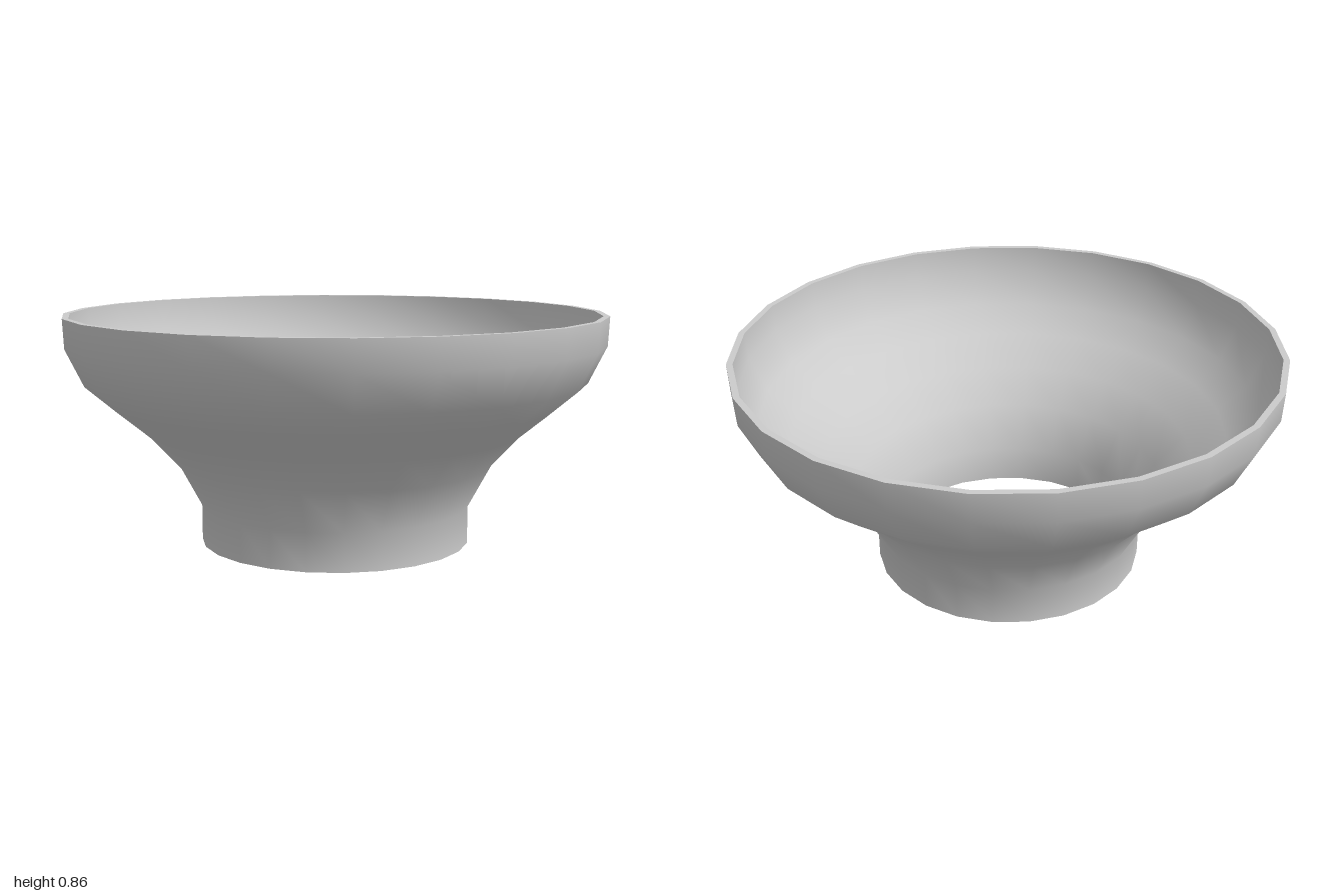
import * as THREE from 'three';

const SEGMENTS = 24;

// Outer wall from foot to lip, as [radius, height]
const outer = [
  [0.505, 0], [0.505, 0.14], [0.59, 0.30], [0.70, 0.42],
  [0.82, 0.52], [0.93, 0.615], [0.995, 0.75], [1.0, 0.857],
];

// Inner wall from foot to lip: the same curve, set in by the wall thickness
const inner = [
  [0.49, 0], [0.49, 0.145], [0.575, 0.31], [0.685, 0.432],
  [0.806, 0.533], [0.912, 0.625], [0.972, 0.755], [0.977, 0.857],
];

export function createModel() {
  const model = new THREE.Group();
  model.name = 'openFunnelBowl';
  const material = new THREE.MeshStandardMaterial({ color: 0xcccccc });

  // Each surface is its own lathe, so the lip and foot edges stay sharp
  const addRing = (name, profile) => {
    const points = profile.map(([r, y]) => new THREE.Vector2(r, y));
    const mesh = new THREE.Mesh(new THREE.LatheGeometry(points, SEGMENTS), material);
    mesh.name = name;
    model.add(mesh);
  };

  addRing('outerWall', outer);
  addRing('topLip', [outer.at(-1), inner.at(-1)]);
  addRing('innerWall', [...inner].reverse());
  addRing('footRim', [inner[0], outer[0]]);

  return model;
}
